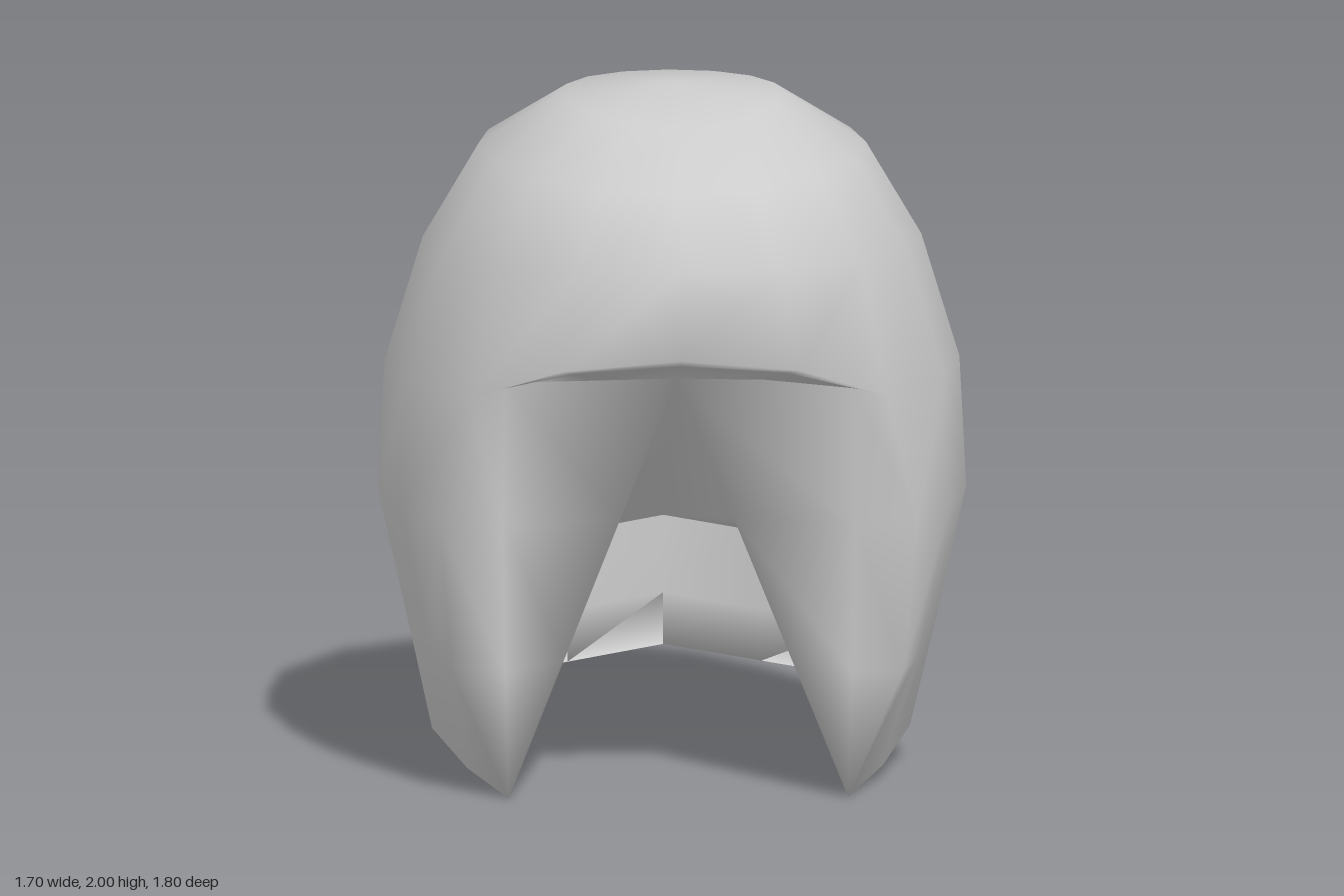
import * as THREE from 'three';
import { mergeVertices } from 'three/addons/utils/BufferGeometryUtils.js';

const material = new THREE.MeshStandardMaterial({ color: 0xcccccc, side: THREE.DoubleSide });

// Joins pairs of rows (upper, lower; left to right as seen from the visible side) into one smooth surface
function surface(name, strips) {
  const pos = [];
  for (const [A, B] of strips) {
    for (let i = 0; i < A.length - 1; i++) {
      for (const t of [[B[i], B[i + 1], A[i + 1]], [B[i], A[i + 1], A[i]]]) {
        const [a, b, c] = t.map(p => new THREE.Vector3(...p));
        const area = b.clone().sub(a).cross(c.clone().sub(a)).length();
        if (area > 1e-6) pos.push(...t.flat());
      }
    }
  }
  let geo = new THREE.BufferGeometry();
  geo.setAttribute('position', new THREE.Float32BufferAttribute(pos, 3));
  geo = mergeVertices(geo, 1e-4);
  geo.computeVertexNormals();
  const mesh = new THREE.Mesh(geo, material);
  mesh.name = name;
  return mesh;
}

const mirror = ([x, y, z]) => [-x, y, z];
const mix = (p, q, t) => p.map((v, k) => v + (q[k] - v) * t);
const mixRows = (P, Q, t) => P.map((p, k) => mix(p, Q[k], t));

// Levels from crown downwards: [radius, height] at the front, side and back
const levels = [
  [0, 2, 0, 2, 0, 2],
  [0.38, 1.93, 0.32, 1.97, 0.36, 1.97],
  [0.70, 1.79, 0.56, 1.82, 0.63, 1.81],
  [0.84, 1.59, 0.72, 1.55, 0.82, 1.54],
  [0.90, 1.34, 0.83, 1.19, 0.90, 1.16],
  [0.85, 0.81, 0.85, 0.81, 0.88, 0.72],
  [0.80, 0.37, 0.75, 0.37, 0.84, 0.38],
];
const BROW = 4, RIM = 7, SEG = 16;

// Front corner meridian from the brow to the pointed tip
const corner = [[0.6, 1.19, 0.64], [0.69, 0.81, 0.57], [0.65, 0.36, 0.53], [0.49, 0, 0.56]];
const tip = corner[3];

// Bottom rim from the tip to the centre back, with straight runs at the back
const side = [0.69, 0.09, -0.1], rear = [0.56, 0.15, -0.55], back = [0, 0.21, -0.78];
const rimHalf = [tip, [0.6, 0.035, 0.25], side, mix(side, rear, 0.5), rear, mix(rear, back, 0.5), back];

function point(level, i) {
  if (i < 0) return mirror(point(level, -i));
  if (i > SEG / 2) return mirror(point(level, SEG - i));
  if (level === RIM) return rimHalf[i - 2];
  if (i === 2 && level >= BROW) return corner[level - BROW];
  const a = i / SEG * Math.PI * 2, c = Math.cos(a);
  const [rf, yf, rs, ys, rb, yb] = levels[level];
  const front = c > 0;
  const y = THREE.MathUtils.lerp(ys, front ? yf : yb, front && level >= BROW ? c ** 4 : c * c);
  // slightly fuller than an ellipse near the front and back
  return [rs * Math.sin(a) * (1 + 0.08 * c * c), y, (front ? rf : rb) * c];
}
const row = (level, from, to) =>
  Array.from({ length: to - from + 1 }, (_, k) => point(level, from + k));

export function createModel() {
  const group = new THREE.Group();
  group.name = 'hoodShell';

  const column = [[0.5, 1.23, 0.62], [0.51, 0.81, 0.605], [0.5, 0.37, 0.58], tip];
  const columnR = column.map(mirror);
  const apex = [0, 1.2, 0.4];

  // Outer shell: full dome, then the sides and back below the brow
  const strips = [];
  for (let l = 0; l < RIM; l++) {
    const [from, to] = l < BROW ? [0, SEG] : [2, 14];
    strips.push([row(l, from, to), row(l + 1, from, to)]);
  }

  // Underside of the brow
  const browRim = row(BROW, -2, 2);
  const browEdge = [columnR[0], mix(columnR[0], apex, 0.5), apex, mix(column[0], apex, 0.5), column[0]];
  const browMid = mixRows(browRim, browEdge, 0.3);
  strips.push([browRim, browMid], [browMid, browEdge]);

  // Front faces of the side flaps
  strips.push([corner, column], [columnR, corner.map(mirror)]);

  // Slanted panels either side of the inverted V opening
  const vEdge = [0, 1 / 3, 2 / 3, 1].map(t => mix(apex, tip, t));
  strips.push([column, vEdge], [vEdge.map(mirror), columnR]);

  // Inner wall rising from the bottom rim
  const rim = row(RIM, 2, 14).reverse();
  const rise = [0, 0.18, 0.32, 0.38, 0.39, 0.38, 0.38];
  const ringAt = scale => rim.map(([x, y, z], k) => {
    const h = rise[Math.min(k, 12 - k)], s = h ? scale : 1;
    return [x * s, y + h, z * s];
  });
  const wallTop = ringAt(1);
  const wallMid = mixRows(rim, wallTop, 0.4);
  strips.push([wallTop, wallMid], [wallMid, rim]);

  // Sloping lining from the V opening back to the inner wall
  const ridge = rim.map((_, k) => {
    const p = vEdge[3 - Math.floor(Math.min(k, 12 - k) / 2)];
    return k < 6 ? mirror(p) : p;
  });
  strips.push([ridge, ringAt(0.99)]);

  group.add(surface('hood', strips));
  return group;
}
